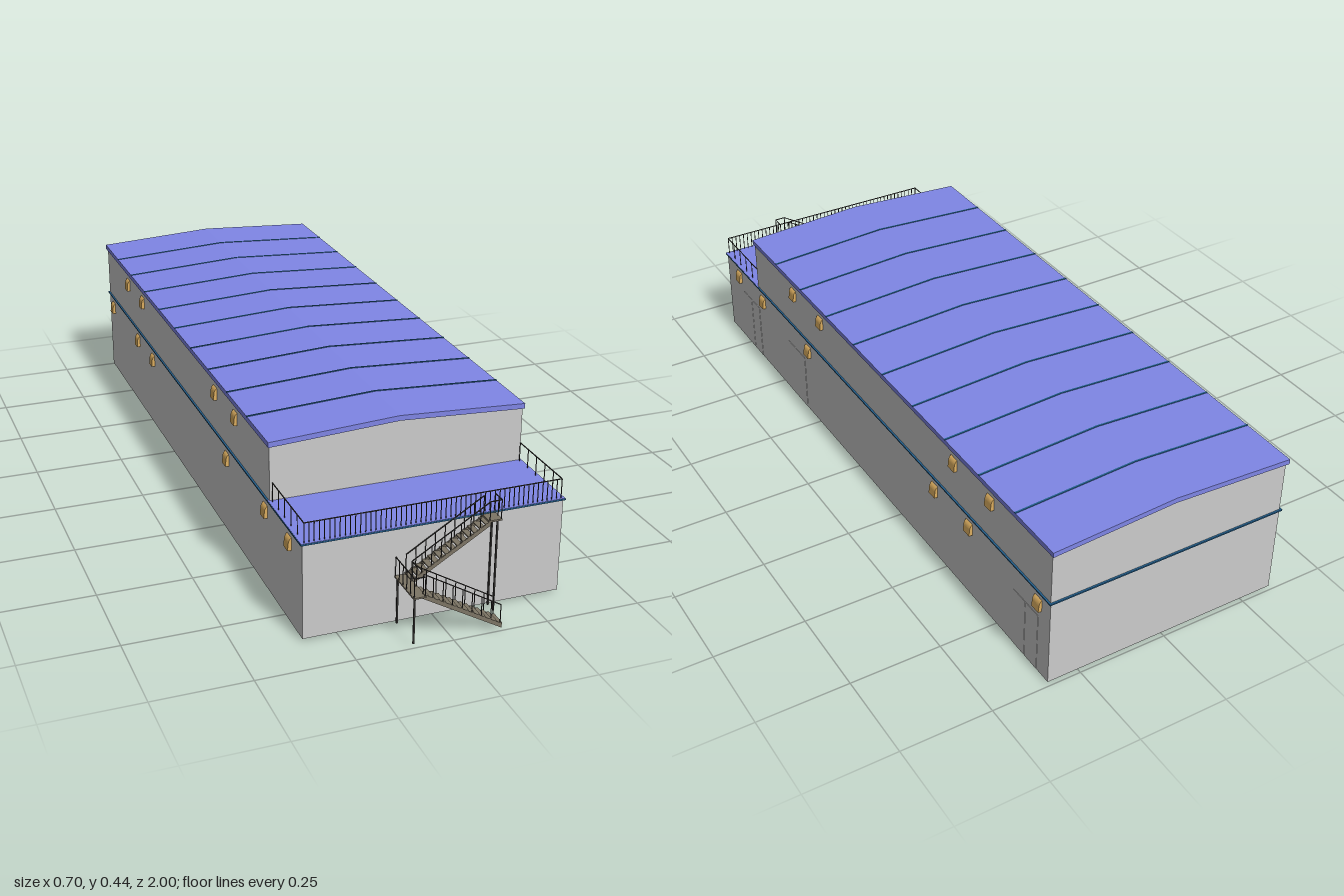
import * as THREE from 'three';

const mat = (color) => new THREE.MeshStandardMaterial({ color, side: THREE.DoubleSide });

export function createModel() {
  const root = new THREE.Group();
  const grey = mat(0xcccccc), blue = mat(0x7f86e6), trim = mat(0x24618f);
  const tan = mat(0xdcae60), brown = mat(0x7d7565), dark = mat(0x3a3836);

  const group = (name) => {
    const g = new THREE.Group();
    g.name = name;
    root.add(g);
    return g;
  };
  const add = (parent, name, geometry, material) => {
    const m = new THREE.Mesh(geometry, material);
    m.name = name;
    parent.add(m);
    return m;
  };
  // Box given by its lower and upper corners
  const box = (parent, name, material, x0, x1, y0, y1, z0, z1) => {
    const m = add(parent, name, new THREE.BoxGeometry(x1 - x0, y1 - y0, z1 - z0), material);
    m.position.set((x0 + x1) / 2, (y0 + y1) / 2, (z0 + z1) / 2);
    return m;
  };
  // Profile in x and y, extruded from z0 to z1
  const prism = (parent, name, material, points, z0, z1) => {
    const shape = new THREE.Shape(points.map(([x, y]) => new THREE.Vector2(x, y)));
    const g = new THREE.ExtrudeGeometry(shape, { depth: z1 - z0, bevelEnabled: false });
    const m = add(parent, name, g, material);
    m.position.z = z0;
    return m;
  };
  // Thin square bar between two points
  const bar = (parent, name, material, a, b, size = 0.0022) => {
    const from = new THREE.Vector3(...a), to = new THREE.Vector3(...b);
    const m = add(parent, name, new THREE.BoxGeometry(size, size, from.distanceTo(to)), material);
    m.position.copy(from).add(to).multiplyScalar(0.5);
    m.lookAt(to);
    return m;
  };
  // Handrail with evenly spaced balusters; a and b lie on the floor line
  const railing = (parent, a, b, height, count) => {
    const up = (p) => [p[0], p[1] + height, p[2]];
    bar(parent, 'handrail', dark, up(a), up(b));
    for (let i = 0; i <= count; i++) {
      const p = a.map((v, k) => v + (b[k] - v) * i / count);
      bar(parent, 'baluster', dark, p, up(p), 0.0018);
    }
  };

  // Walls
  const walls = group('walls');
  box(walls, 'lowerStorey', grey, -0.34, 0.34, 0, 0.252, -0.992, 0.88);
  prism(walls, 'upperStorey', grey,
    [[-0.34, 0.252], [0.34, 0.252], [0.34, 0.403], [0, 0.422], [-0.34, 0.403]], -0.992, 0.647);

  // Band between the storeys and the terrace floor
  box(root, 'storeyBand', trim, -0.345, 0.345, 0.2515, 0.2555, -0.997, 0.884);
  box(root, 'terraceFloor', blue, -0.344, 0.344, 0.2555, 0.2565, 0.64, 0.883);

  // Shallow gabled roof with seams across it
  const roof = group('roof');
  const gable = (bottom, top, w) => [[-w, bottom], [0, bottom + 0.019], [w, bottom],
    [w, top], [0, top + 0.019], [-w, top]];
  prism(roof, 'roofSlab', blue, gable(0.401, 0.415, 0.344), -1, 0.652);
  for (let i = 1; i < 10; i++) {
    const z = -1 + i * 0.1652;
    prism(roof, 'roofSeam', trim, gable(0.414, 0.4165, 0.3445), z - 0.0025, z + 0.0025);
  }

  // Terrace railing
  const terrace = group('terraceRailing');
  railing(terrace, [-0.335, 0.255, 0.877], [0.335, 0.255, 0.877], 0.053, 52);
  for (const s of [-1, 1])
    railing(terrace, [s * 0.335, 0.255, 0.655], [s * 0.335, 0.255, 0.877], 0.053, 5);

  // Wall lamps with rounded hoods, alike on both long sides
  const lamps = group('wallLamps');
  const hood = new THREE.Shape();
  hood.moveTo(0, 0);
  hood.lineTo(0.0105, 0);
  hood.lineTo(0.0085, 0.02);
  hood.quadraticCurveTo(0.007, 0.03, 0, 0.034);
  const hoodGeometry = new THREE.ExtrudeGeometry(hood,
    { depth: 0.03, bevelEnabled: false, curveSegments: 6 });
  hoodGeometry.translate(0, 0, -0.015);
  const rows = [[0.2, [0.79, 0.615, 0.3, -0.445, -0.62, -0.94]],
    [0.351, [0.38, 0.205, -0.545, -0.72]]];
  for (const [y, zs] of rows) for (const z of zs) for (const s of [-1, 1]) {
    const lamp = add(lamps, 'wallLamp', hoodGeometry, tan);
    lamp.position.set(s * 0.3395, y, z);
    if (s < 0) lamp.rotation.y = Math.PI;
  }

  // Doors on the left long side; the first and last have two leaves
  const doors = group('doors');
  for (const [z, leaves] of [[0.65, 2], [0.328, 1], [-0.942, 2]]) {
    const w = 0.113 / leaves;
    for (let i = 0; i < leaves; i++)
      box(doors, 'doorLeaf', grey, 0.338, 0.341, 0.001, 0.175, z + i * w + 0.001, z + (i + 1) * w - 0.001);
  }

  // Outside staircase: two flights joined by a landing
  const stairs = group('staircase');
  const flight = (name, a, b, z0, z1) => {
    const g = new THREE.Group();
    g.name = name;
    stairs.add(g);
    const [x0, y0] = a, [x1, y1] = b;
    for (const z of [z0, z1 - 0.003])
      prism(g, 'stringer', brown, [[x0, y0 - 0.012], [x1, y1 - 0.012], [x1, y1], [x0, y0]], z, z + 0.003);
    const steps = 14, run = Math.abs(x1 - x0) / steps;
    for (let i = 0; i < steps; i++) {
      const t = (i + 0.5) / steps;
      const x = x0 + (x1 - x0) * t, y = y0 + (y1 - y0) * t;
      box(g, 'tread', brown, x - run * 0.52, x + run * 0.52, y - 0.004, y - 0.001, z0, z1);
    }
    return g;
  };
  const lower = flight('lowerFlight', [0.132, 0.006], [-0.08, 0.129], 0.945, 0.988);
  for (const z of [0.9465, 0.9865])
    railing(lower, [0.128, 0.005, z], [-0.078, 0.128, z], 0.053, 8);
  const upper = flight('upperFlight', [-0.08, 0.129], [0.124, 0.252], 0.883, 0.921);
  railing(upper, [-0.078, 0.128, 0.9195], [0.122, 0.25, 0.9195], 0.053, 8);
  railing(upper, [-0.078, 0.128, 0.8845], [0.122, 0.25, 0.8845], 0.053, 8);

  // Landing and top platform
  box(stairs, 'landing', brown, -0.107, -0.075, 0.124, 0.128, 0.883, 0.998);
  railing(stairs, [-0.105, 0.126, 0.885], [-0.105, 0.126, 0.996], 0.053, 5);
  railing(stairs, [-0.105, 0.126, 0.996], [-0.077, 0.126, 0.996], 0.053, 1);
  railing(stairs, [-0.077, 0.126, 0.921], [-0.077, 0.126, 0.945], 0.053, 1);
  box(stairs, 'topPlatform', brown, 0.119, 0.154, 0.248, 0.2525, 0.88, 0.921);
  railing(stairs, [0.122, 0.25, 0.9195], [0.152, 0.25, 0.9195], 0.053, 1);
  railing(stairs, [0.152, 0.25, 0.884], [0.152, 0.25, 0.9195], 0.053, 2);

  // Supporting posts
  for (const z of [0.89, 0.99]) bar(stairs, 'landingPost', dark, [-0.101, 0, z], [-0.101, 0.125, z], 0.004);
  for (const z of [0.887, 0.916]) bar(stairs, 'platformPost', dark, [0.144, 0, z], [0.144, 0.25, z], 0.004);

  return root;
}
